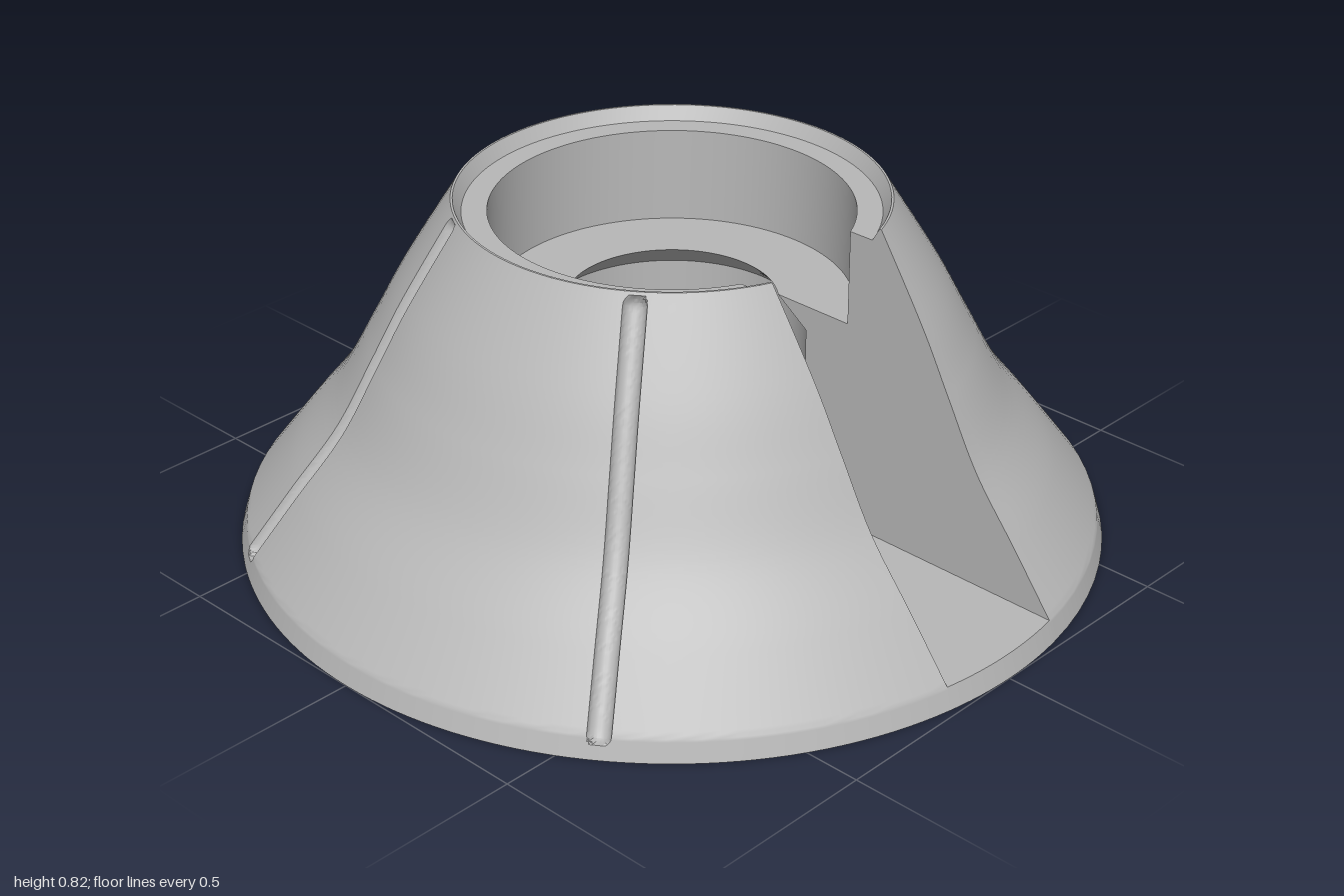
import * as THREE from 'three';
import { toCreasedNormals } from 'three/addons/utils/BufferGeometryUtils.js';

const SLOT = 0.175;      // half width of the front slot
const FLOOR = 0.05;      // height of the slot floor
const EDGE = 0.985;      // outer radius at the slot floor
const CAVITY = 0.305;    // radius of the undercut cavity
const GROOVE_R = 0.026;
const GROOVES = [130.5, 239.5, 305.2].map(THREE.MathUtils.degToRad);
const OFFSETS = [-1.08, -1, -0.96, -0.82, -0.55, -0.28, 0, 0.28, 0.55, 0.82, 0.96, 1, 1.08];

const v = (x, y) => new THREE.Vector2(x, y);
const slotAngle = r => Math.asin(SLOT / Math.min(r, EDGE));
const slotZ = r => Math.sqrt(r * r - SLOT * SLOT);

// Angles of one ring, from one slot wall round to the other, denser at the grooves
function ringAngles(r, grooved) {
  const a = slotAngle(r), end = Math.PI * 2 - a, list = [a];
  const fill = (to, n) => {
    const from = list[list.length - 1];
    for (let i = 1; i <= n; i++) list.push(from + (to - from) * i / n);
  };
  if (!grooved) {
    fill(end, 128);
    return list;
  }
  for (const g of GROOVES) {
    fill(g + OFFSETS[0] * GROOVE_R / r, 30);
    for (const o of OFFSETS.slice(1)) list.push(g + o * GROOVE_R / r);
  }
  fill(end, 20);
  return list;
}

// Depth of the round-ended grooves
function grooveDepth(r, y, angle) {
  const along = Math.max(0.055 - y, y - 0.79, 0) / 0.83;
  let depth = 0;
  for (const g of GROOVES) {
    const across = (angle - g) * r;
    depth = Math.max(depth, Math.sqrt(Math.max(0, GROOVE_R ** 2 - across ** 2 - along ** 2)));
  }
  return depth;
}

// Turned surface, open where the slot cuts through it
function slottedTurning(profile, grooved) {
  const pos = [], index = [];
  let cols = 0;
  profile.forEach((p, i) => {
    const angles = ringAngles(p.x, grooved);
    cols = angles.length;
    angles.forEach((t, j) => {
      const d = grooved ? grooveDepth(p.x, p.y, t) : 0;
      const r = p.x - d * 0.85;
      pos.push(r * Math.sin(t), p.y - d * 0.45, r * Math.cos(t));
      if (i && j) {
        const b = i * cols + j, a = b - cols;
        index.push(a - 1, a, b, a - 1, b, b - 1);
      }
    });
  });
  const geo = new THREE.BufferGeometry();
  geo.setAttribute('position', new THREE.Float32BufferAttribute(pos, 3));
  geo.setIndex(index);
  return toCreasedNormals(geo, 0.5);
}

export function createModel() {
  const model = new THREE.Group();
  const grey = new THREE.MeshStandardMaterial({ color: 0xb8b8b8 });
  grey.name = 'grey';
  const add = (name, geo) => {
    const mesh = new THREE.Mesh(geo, grey);
    mesh.name = name;
    model.add(mesh);
    return mesh;
  };

  // Flared outer skin with three grooves
  const flare = new THREE.SplineCurve([
    v(EDGE, FLOOR), v(0.88, 0.188), v(0.77, 0.33), v(0.685, 0.485), v(0.61, 0.625), v(0.49, 0.82),
  ]).getSpacedPoints(120);
  const rim = [];
  for (let i = 0; i < 8; i++) rim.push(v(1 - 0.015 * i / 8, FLOOR * i / 8));
  add('outerSkin', slottedTurning([...rim, ...flare], true));

  // Stepped seat and undercut cavity
  const bore = [
    v(0.49, 0.82), v(0.485, 0.82), v(0.467, 0.787), v(0.41, 0.787), v(0.41, 0.56),
    v(0.24, 0.56), v(CAVITY, 0.5), v(CAVITY, FLOOR),
  ];
  add('steppedBore', slottedTurning(bore, false));

  // Slot walls
  const outline = [...bore].reverse().concat([...flare].reverse());
  for (const side of [1, -1]) {
    const shape = new THREE.Shape(outline.map(p => v(side * slotZ(p.x), p.y)));
    const wall = add(side > 0 ? 'leftSlotWall' : 'rightSlotWall', new THREE.ShapeGeometry(shape));
    wall.geometry.rotateY(-side * Math.PI / 2);
    wall.position.x = side * SLOT;
  }

  // Keyhole floor and the rim below it
  const down = -Math.PI / 2, inA = slotAngle(CAVITY), outA = slotAngle(EDGE);
  const keyhole = new THREE.Shape();
  keyhole.absarc(0, 0, CAVITY, down + inA, down - inA + Math.PI * 2, false);
  keyhole.absarc(0, 0, EDGE, down - outA, down + outA, false);
  add('keyholeFloor', new THREE.ShapeGeometry(keyhole, 48).rotateX(-Math.PI / 2)).position.y = FLOOR;
  add('frontRim', new THREE.LatheGeometry([v(1, 0), v(EDGE, FLOOR)], 12, -outA, outA * 2));

  // Underside with four round foot recesses
  const base = new THREE.Shape().absarc(0, 0, 1, 0, Math.PI * 2, false);
  for (const x of [-0.5, 0.5]) {
    for (const z of [-0.5, 0.5]) {
      base.holes.push(new THREE.Path().absarc(x, z, 0.107, 0, Math.PI * 2, true));
      const recess = new THREE.LatheGeometry([v(0, 0.04), v(0.107, 0.04), v(0.107, 0)], 64);
      add('footRecess', toCreasedNormals(recess, 0.5)).position.set(x, 0, z);
    }
  }
  add('underside', new THREE.ShapeGeometry(base, 64).rotateX(Math.PI / 2));

  return model;
}
